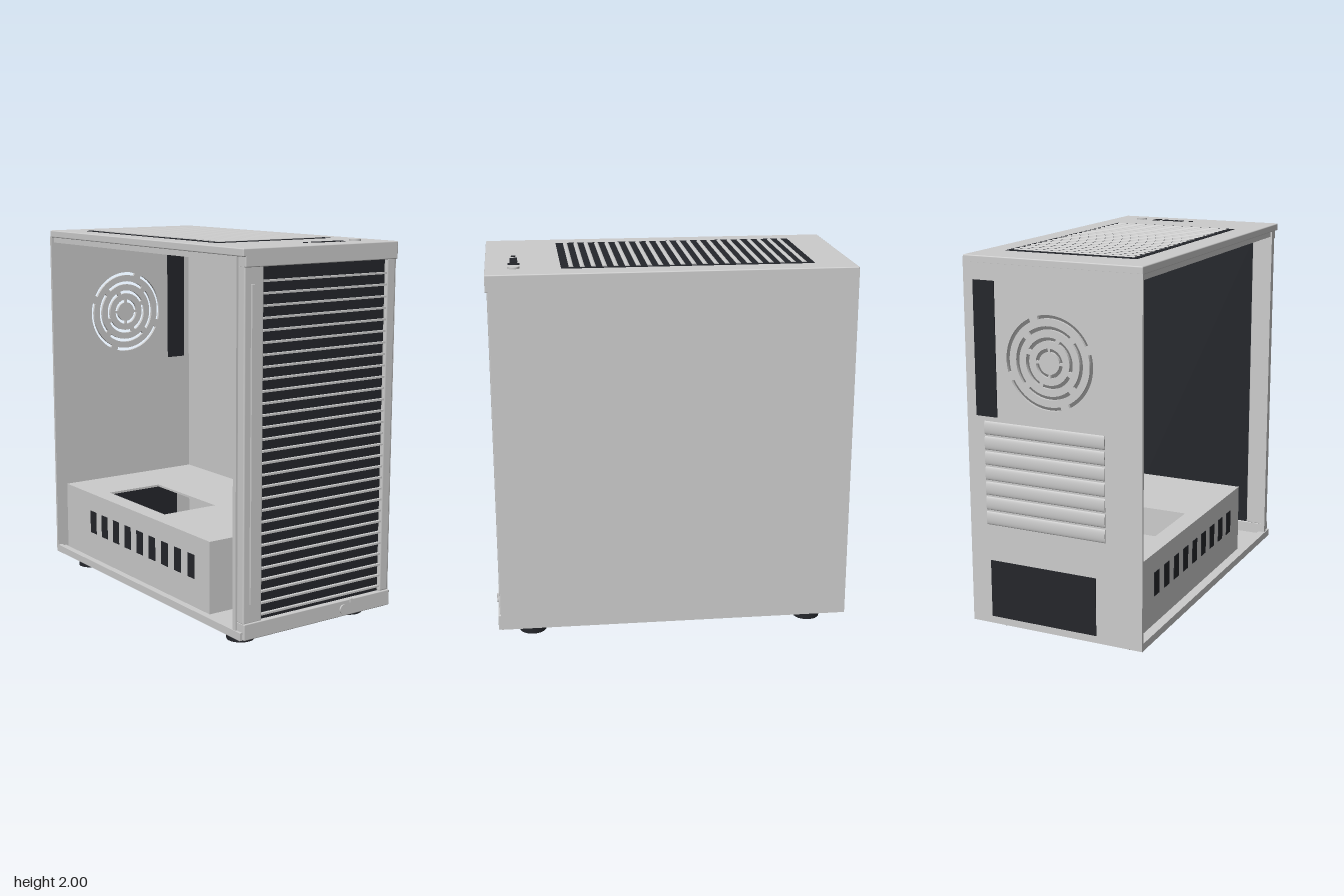
import * as THREE from 'three';
import { RoundedBoxGeometry } from 'three/addons/geometries/RoundedBoxGeometry.js';

const grey = new THREE.MeshStandardMaterial({ color: 0xcccccc });
const dark = new THREE.MeshStandardMaterial({ color: 0x24262b });

export function createModel() {
  const root = new THREE.Group();

  const add = (name, geometry, material = grey, parent = root) => {
    const mesh = new THREE.Mesh(geometry, material);
    mesh.name = name;
    parent.add(mesh);
    return mesh;
  };
  const group = (name) => {
    const g = new THREE.Group();
    g.name = name;
    root.add(g);
    return g;
  };
  // Box given by its limits along x, y and z; an optional radius rounds it
  const box = (name, [x0, x1], [y0, y1], [z0, z1], material, parent, r = 0) => {
    const s = [x1 - x0, y1 - y0, z1 - z0];
    const g = r ? new RoundedBoxGeometry(...s, 2, r) : new THREE.BoxGeometry(...s);
    const mesh = add(name, g, material, parent);
    mesh.position.set((x0 + x1) / 2, (y0 + y1) / 2, (z0 + z1) / 2);
    return mesh;
  };
  const disc = (name, r, h, x, y, z, material, parent) => {
    const mesh = add(name, new THREE.CylinderGeometry(r, r, h, 32), material, parent);
    mesh.position.set(x, y, z);
    return mesh;
  };
  const rect = (x0, x1, y0, y1, Type = THREE.Path) => new Type([
    [x0, y0], [x1, y0], [x1, y1], [x0, y1],
  ].map((p) => new THREE.Vector2(...p)));

  // Shell: floor, roof, closed side, and rails round the open side
  const shell = group('shell');
  box('floor', [-0.475, 0.47], [0.06, 0.08], [-0.95, 0.92], grey, shell);
  box('roof', [-0.49, 0.485], [1.95, 1.99], [-0.95, 0.945], grey, shell, 0.006);
  box('sidePanel', [0.468, 0.485], [0.06, 1.98], [-0.95, 0.93], grey, shell);
  box('lowerRail', [-0.49, -0.465], [0.06, 0.1], [-0.95, 0.93], grey, shell);
  box('lowerInnerRail', [-0.465, -0.44], [0.08, 0.092], [-0.93, 0.89], grey, shell);
  box('upperRail', [-0.475, -0.455], [1.92, 1.95], [-0.93, 0.9], grey, shell);
  box('frontPost', [-0.485, -0.465], [0.1, 1.95], [0.86, 0.885], grey, shell);

  // Rear wall with rings of curved vent slots
  const wall = rect(-0.49, 0.47, 0.06, 1.955, THREE.Shape);
  [0.065, 0.12, 0.175, 0.23].forEach((r, ring) => {
    for (let i = 0; i < 4; i++) {
      const a0 = i * Math.PI / 2 + ring * 0.4 + 0.1;
      const a1 = a0 + Math.PI / 2 - 0.2;
      const slot = new THREE.Path();
      slot.absarc(0.01, 1.485, r + 0.009, a0, a1, false);
      slot.absarc(0.01, 1.485, r - 0.009, a1, a0, true);
      slot.closePath();
      wall.holes.push(slot);
    }
  });
  const rear = group('rear');
  add('rearWall', new THREE.ExtrudeGeometry(wall, { depth: 0.015, bevelEnabled: false, curveSegments: 12 }),
    grey, rear).position.z = -0.95;
  box('portOpening', [0.31, 0.43], [1.18, 1.87], [-0.954, -0.93], dark, rear);
  box('powerOpening', [-0.235, 0.37], [0.1, 0.41], [-0.954, -0.93], dark, rear);

  // Gently curved expansion slot covers
  const coverShape = new THREE.CylinderGeometry(0.036, 0.036, 0.675, 20).rotateZ(Math.PI / 2).scale(1, 1, 0.25);
  for (let i = 0; i < 7; i++) {
    add('slotCover', coverShape, grey, rear).position.set(0.048, 0.64 + i * 0.08, -0.949);
  }

  // Front: caps, pillars, dark intake and its slats
  const front = group('front');
  box('topCap', [-0.475, 0.485], [1.9, 1.965], [0.88, 0.945], grey, front, 0.005);
  box('bottomCap', [-0.475, 0.485], [0.06, 0.145], [0.88, 0.945], grey, front, 0.005);
  box('leftPillar', [0.42, 0.482], [0.14, 1.91], [0.88, 0.936], grey, front, 0.012);
  box('rightPillar', [-0.475, -0.36], [0.14, 1.91], [0.88, 0.936], grey, front, 0.008);
  box('pillarStrip', [-0.437, -0.416], [0.24, 1.82], [0.93, 0.947], grey, front);
  box('intake', [-0.365, 0.425], [0.14, 1.905], [0.885, 0.918], dark, front);
  for (let i = 0; i < 29; i++) {
    const y = 0.168 + i * 0.0592;
    box('slat', [-0.362, 0.422], [y, y + 0.01], [0.915, 0.935], grey, front);
  }
  disc('badgeDisc', 0.025, 0.012, 0.165, 0.1, 0.947, grey, front).rotation.x = Math.PI / 2;
  box('latch', [0.207, 0.225], [0.128, 0.148], [0.94, 0.952], grey, front);

  // Roof vent with rounded slats
  const roof = group('roofVent');
  box('ventBase', [-0.365, 0.36], [1.942, 1.992], [-0.745, 0.56], dark, roof);
  const slatShape = new THREE.CylinderGeometry(0.012, 0.012, 0.67, 16).rotateZ(Math.PI / 2).scale(1, 0.5, 1);
  for (let i = 0; i < 22; i++) {
    add('ventSlat', slatShape, grey, roof).position.set(0, 1.992, -0.695 + i * 0.0573);
  }

  // Roof controls
  const controls = group('controls');
  disc('powerButton', 0.031, 0.016, 0.32, 1.992, 0.8, grey, controls);
  const rim = add('buttonRim', new THREE.TorusGeometry(0.025, 0.003, 8, 32), grey, controls);
  rim.rotation.x = Math.PI / 2;
  rim.position.set(0.32, 1.998, 0.8);
  disc('audioSocket', 0.013, 0.006, 0, 1.99, 0.797, dark, controls);
  for (const [x, w, d] of [[0.08, 0.056, 0.04], [0.148, 0.056, 0.04], [0.217, 0.036, 0.062]]) {
    box('port', [x - w / 2, x + w / 2], [1.98, 1.993], [0.797 - d / 2, 0.797 + d / 2], dark, controls);
  }

  // Inner power cover: pierced top, slotted side, front wall
  const cover = group('powerCover');
  const top = rect(-0.42, 0.468, -0.57, 0.935, THREE.Shape);
  top.holes.push(rect(-0.32, 0.02, 0.01, 0.6));
  const lid = add('coverTop', new THREE.ExtrudeGeometry(top, { depth: 0.012, bevelEnabled: false }), grey, cover);
  lid.rotation.x = -Math.PI / 2;
  lid.position.y = 0.458;
  box('coverSide', [-0.42, -0.408], [0.08, 0.46], [-0.935, 0.57], grey, cover);
  box('coverFront', [-0.42, 0.468], [0.08, 0.46], [0.558, 0.57], grey, cover);
  for (let i = 0; i < 9; i++) {
    const z = -0.62 + i * 0.1275;
    box('coverSlot', [-0.423, -0.405], [0.235, 0.365], [z - 0.032, z + 0.032], dark, cover);
  }

  // Feet
  for (const x of [-0.362, 0.358]) {
    for (const z of [-0.762, 0.76]) disc('foot', 0.072, 0.062, x, 0.031, z, dark);
  }
  return root;
}
